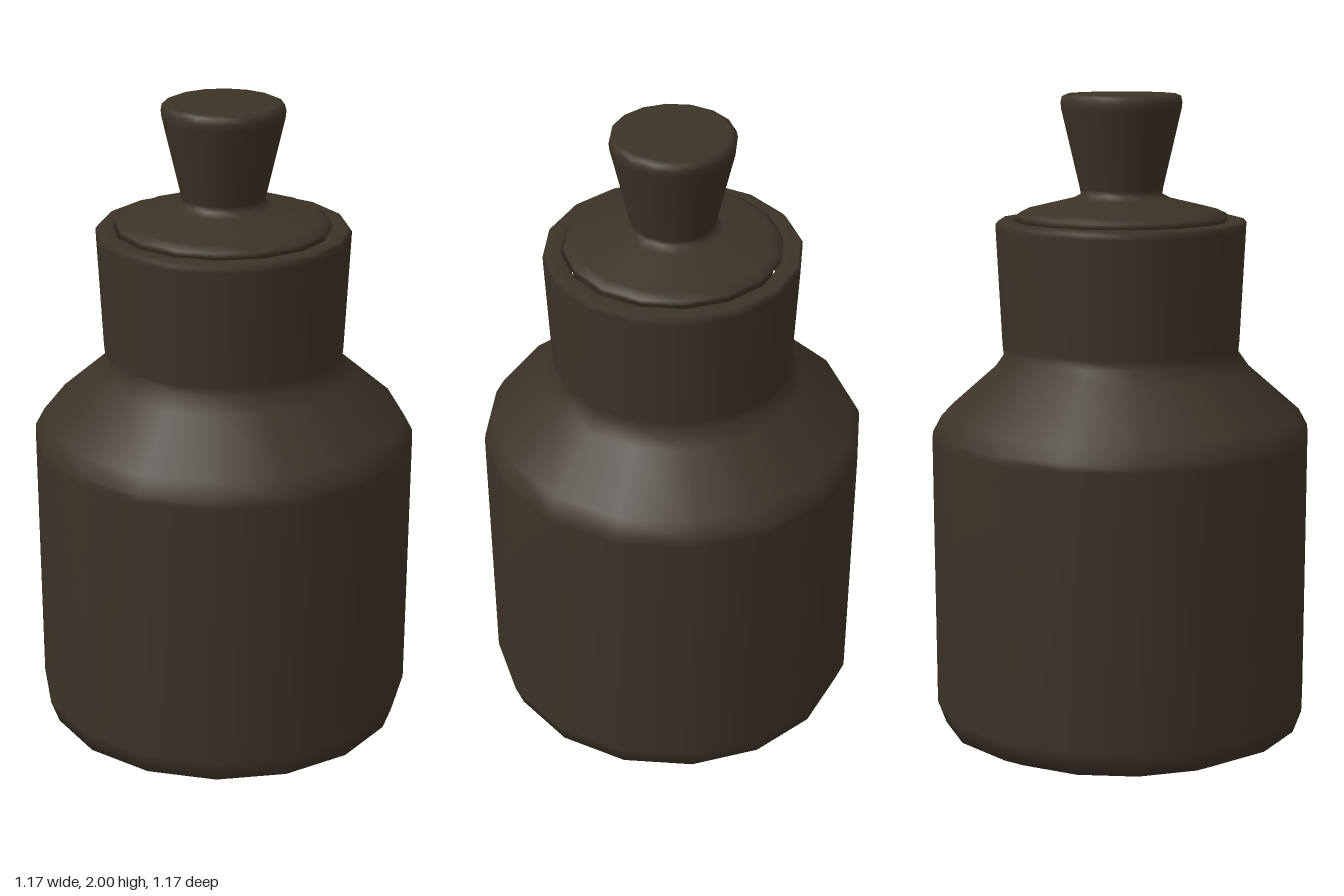
import * as THREE from 'three';

// Smooth 16-sided turned part from [radius, height] pairs, listed bottom to top
function turned(name, profile, material) {
  const points = profile.map(([r, y]) => new THREE.Vector2(r, y));
  const mesh = new THREE.Mesh(new THREE.LatheGeometry(points, 16), material);
  mesh.name = name;
  return mesh;
}

export function createModel() {
  const group = new THREE.Group();
  group.name = 'stopperedBottle';
  const darkGlass = new THREE.MeshStandardMaterial({ color: 0x3d3327 });
  darkGlass.name = 'dark brown glass';

  // Base, body, shoulder, flared neck and rolled rim, turning down inside the mouth
  group.add(turned('bottle', [
    [0, 0], [0.44, 0], [0.47, 0.008], [0.553, 0.045], [0.579, 0.115],
    [0.584, 0.95], [0.582, 0.975], [0.555, 1.025], [0.395, 1.165], [0.363, 1.21],
    [0.366, 1.24], [0.384, 1.595], [0.384, 1.61], [0.376, 1.62],
    [0.335, 1.62], [0.325, 1.612], [0.31, 1.5],
  ], darkGlass));

  // Stopper: tapered plug, domed flange and flared grip
  group.add(turned('stopper', [
    [0, 1.5], [0.29, 1.5], [0.305, 1.6], [0.325, 1.622], [0.323, 1.636], [0.295, 1.65],
    [0.15, 1.685], [0.125, 1.698], [0.127, 1.715], [0.183, 1.955],
    [0.185, 1.975], [0.181, 1.993], [0.165, 2], [0, 2],
  ], darkGlass));

  return group;
}
